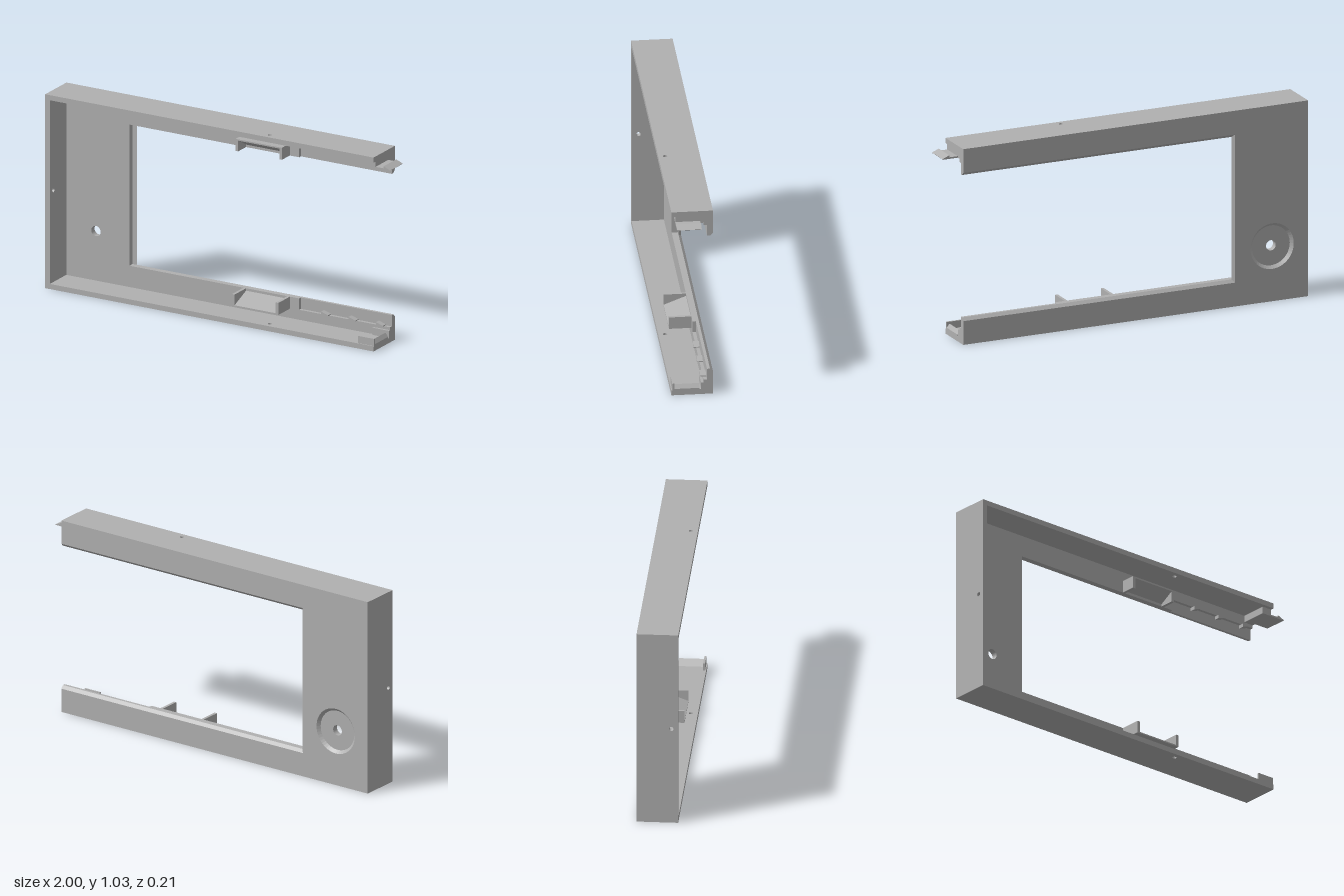
import * as THREE from 'three';

const L = -1, R = 0.915, H = 1.03, T = 0.027;      // outer frame and wall thickness
const BACK = -0.105, FLOOR = -0.058, FRONT = 0.105; // depth levels
const KNOB = { x: -0.8, y: 0.29, r: 0.027 };

export function createModel() {
  const root = new THREE.Group();
  const grey = new THREE.MeshStandardMaterial({ color: 0xb0b0b0 });
  grey.name = 'plainGrey';

  const add = (name, geometry) => {
    const mesh = new THREE.Mesh(geometry, grey);
    mesh.name = name;
    root.add(mesh);
    return mesh;
  };
  const box = (name, x0, x1, y0, y1, z0, z1) => {
    const g = new THREE.BoxGeometry(x1 - x0, Math.abs(y1 - y0), z1 - z0);
    g.translate((x0 + x1) / 2, (y0 + y1) / 2, (z0 + z1) / 2);
    return add(name, g);
  };
  const shapeOf = (points, hole) => {
    const s = new THREE.Shape(points.map(p => new THREE.Vector2(p[0], p[1])));
    if (hole) s.holes.push(new THREE.Path().absarc(hole.x, hole.y, hole.r, 0, Math.PI * 2, true));
    return s;
  };
  const extrude = (shape, depth) =>
    new THREE.ExtrudeGeometry(shape, { depth, bevelEnabled: false, curveSegments: 24 });
  // Outline in x, y pushed along z
  const alongZ = (points, z0, z1, hole) => extrude(shapeOf(points, hole), z1 - z0).translate(0, 0, z0);
  // Outline in -z, y pushed along x
  const alongX = (points, x0, x1, hole) =>
    extrude(shapeOf(points, hole), x1 - x0).rotateY(Math.PI / 2).translate(x0, 0, 0);
  // Outline in x, -z pushed along y
  const alongY = (points, y0, y1, hole) =>
    extrude(shapeOf(points, hole), y1 - y0).rotateX(-Math.PI / 2).translate(0, y0, 0);
  const rect = (a, b, c, d) => [[a, c], [b, c], [b, d], [a, d]];
  const cShape = (x, y) => [[L, 0], [R, 0], [R, y], [x, y], [x, H - y], [R, H - y], [R, H], [L, H]];

  // Face plate, inner layer: arms step down to a shallow pocket near their ends
  const px = 0.385, py = 0.08, ox = -0.605, oy = 0.14;
  add('facePlateInner', alongZ([
    [L, 0], [R, 0], [R, py], [px, py], [px, oy], [ox, oy],
    [ox, H - oy], [px, H - oy], [px, H - py], [R, H - py], [R, H], [L, H],
  ], -0.075, FLOOR, KNOB));
  add('facePlateMiddle', alongZ(cShape(ox, oy), -0.09, -0.075, KNOB));

  // Face plate, outer layer: window edges and dial recess flare outward
  const wx = -0.58, recess = 0.105, flare = 0.015;
  const outer = alongZ(cShape(wx, oy), BACK, -0.09, { ...KNOB, r: recess });
  const p = outer.attributes.position;
  const near = (a, b) => Math.abs(a - b) < 1e-4;
  for (let i = 0; i < p.count; i++) {
    if (!near(p.getZ(i), BACK)) continue;
    const x = p.getX(i), y = p.getY(i);
    const dx = x - KNOB.x, dy = y - KNOB.y, d = Math.hypot(dx, dy);
    if (near(d, recess)) {
      const k = (recess + flare) / recess;
      p.setXY(i, KNOB.x + dx * k, KNOB.y + dy * k);
      continue;
    }
    if (near(x, wx)) p.setX(i, x - flare);
    if (near(y, oy)) p.setY(i, y - flare);
    if (near(y, H - oy)) p.setY(i, y + flare);
  }
  outer.computeVertexNormals();
  add('facePlateOuter', outer);

  // Side walls, each with a small screw hole
  const pin = 0.011, pinZ = 0.07;
  const longWall = rect(L, R, -FRONT, -FLOOR);
  const longHole = { x: 0.29, y: -pinZ, r: pin };
  add('bottomWall', alongY(longWall, 0, T, longHole));
  add('topWall', alongY(longWall, H - T, H, longHole));
  add('endWall', alongX(rect(-FRONT, -FLOOR, T, H - T), L, L + T, { x: -pinZ, y: H / 2, r: pin }));

  // Features on both arms; the top arm mirrors the bottom one
  for (const top of [false, true]) {
    const m = y => (top ? H - y : y);
    const side = top ? 'top' : 'bottom';

    // Bracket: two cheeks with a ramp between them
    const reach = top ? 0.02 : 0.055;
    for (const x of [0.06, 0.315])
      box(side + 'BracketCheek', x, x + 0.015, m(0.076), m(0.14), FLOOR, reach);
    add(side + 'BracketRamp', alongX(
      [[-reach, m(0.076)], [-FLOOR, m(0.076)], [-FLOOR, m(0.127)], [-reach, m(0.083)]], 0.075, 0.315));

    // Snap teeth along the pocket
    for (const x of [0.52, 0.68, 0.84])
      add(side + 'Tooth', alongZ([[x, m(py)], [x + 0.04, m(py + 0.005)], [x + 0.04, m(py)],
        [x, m(py)], [x, m(py + 0.018)], [x + 0.04, m(py + 0.005)]].slice(1), -0.075, -0.045));
  }

  // Bottom latch socket: two guides and a sloped catch
  box('socketGuide', 0.82, R, T, 0.065, 0.09, 0.1);
  box('socketGuide', 0.82, R, T, 0.065, FLOOR, -0.045);
  add('socketCatch', alongZ([[0.865, T], [R, T], [R, 0.035], [0.9, 0.055]], -0.038, 0.09));

  // Top latch: base block and a tongue ending in a barb
  box('latchBase', 0.86, R, 0.967, H - T, -0.04, 0.085);
  box('latchGuide', 0.86, R, 0.967, H - T, FLOOR, -0.04);
  add('latchTongue', alongZ(
    [[R, 0.967], [0.997, 0.967], [1, 0.97], [0.962, 0.986], [0.962, 0.975], [R, 0.975]], -0.04, 0.085));

  // Centre on x and z
  const bounds = new THREE.Box3().setFromObject(root);
  const c = bounds.getCenter(new THREE.Vector3());
  root.children.forEach(o => o.position.set(-c.x, -bounds.min.y, -c.z));
  return root;
}
